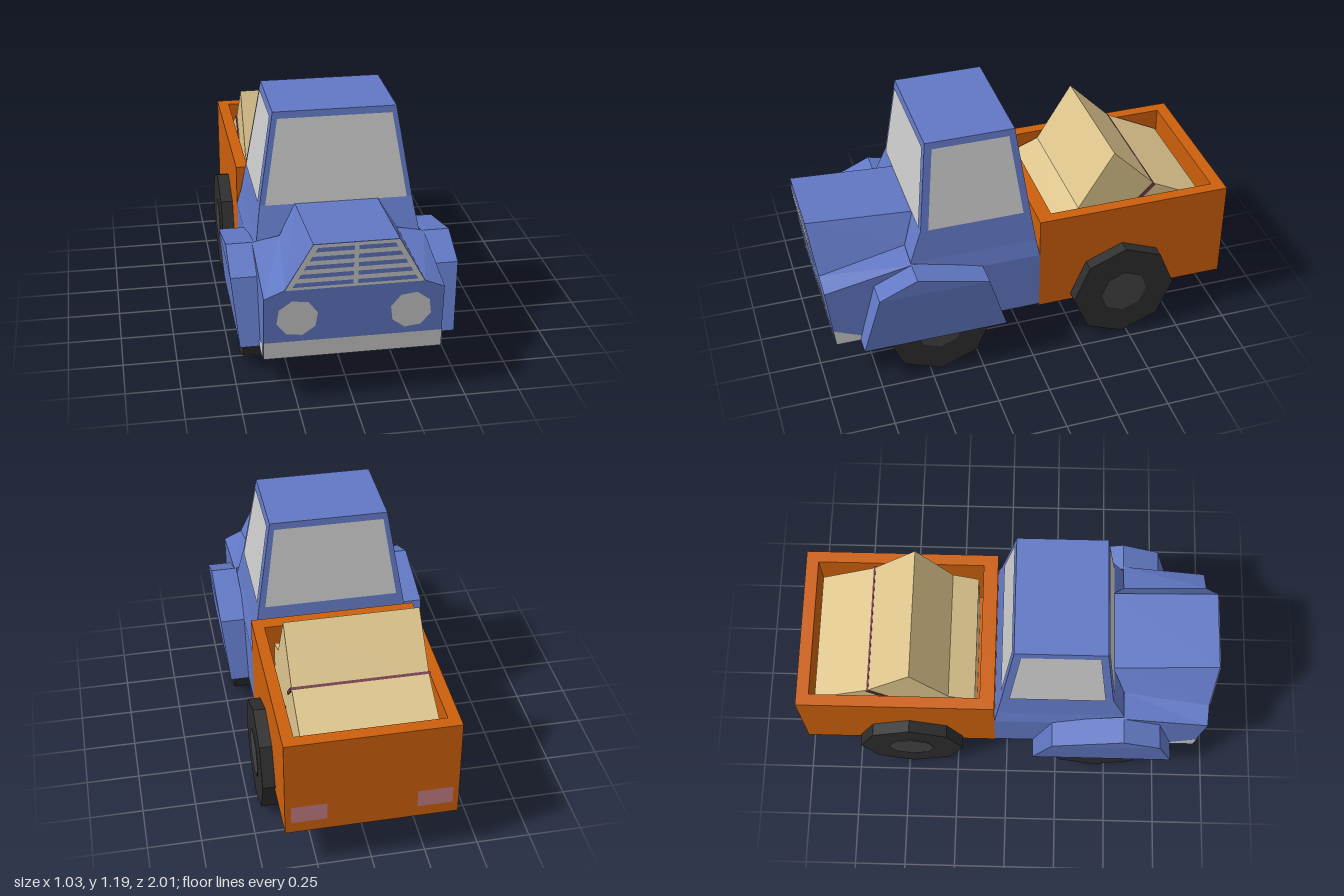
import * as THREE from 'three';

const material = (color) => new THREE.MeshStandardMaterial({ color, flatShading: true, side: THREE.DoubleSide });

export function createModel() {
  const truck = new THREE.Group();
  truck.name = 'pickupTruck';
  const blue = material(0x6178c4), orange = material(0xcc5f0c), grey = material(0xcccccc);
  const rubber = material(0x2d2d2d), hubGrey = material(0x434343), tan = material(0xdcc48c);
  const maroon = material(0x7a4050), pink = material(0xc07a80);

  function add(name, geometry, mat, x = 0, y = 0, z = 0) {
    const mesh = new THREE.Mesh(geometry, mat);
    mesh.name = name;
    mesh.position.set(x, y, z);
    truck.add(mesh);
    return mesh;
  }

  function facets(triangles) {
    const g = new THREE.BufferGeometry();
    g.setAttribute('position', new THREE.Float32BufferAttribute(triangles.flat(2), 3));
    g.computeVertexNormals();
    return g;
  }

  // Faceted solid through rings of equal length, closed at both ends
  function loft(rings) {
    const t = [], n = rings[0].length;
    for (let k = 0; k + 1 < rings.length; k++) {
      const a = rings[k], b = rings[k + 1];
      for (let i = 0; i < n; i++) {
        const j = (i + 1) % n;
        t.push([a[i], a[j], b[j]], [a[i], b[j], b[i]]);
      }
    }
    const first = rings[0], last = rings[rings.length - 1];
    for (let i = 0; i < Math.floor((n - 1) / 2); i++) {
      const p = n - 2 - i, q = n - 1 - i;
      t.push([last[i], last[i + 1], last[p]], [last[i], last[p], last[q]]);
      t.push([first[i], first[p], first[i + 1]], [first[i], first[q], first[p]]);
    }
    return facets(t);
  }

  // Thin quad, corners counter-clockwise from its visible side
  const panel = (name, [a, b, c, d], mat) => add(name, facets([[a, b, c], [a, c, d]]), mat);
  const noseZ = (y) => 0.935 + 0.114 * (y - 0.23);

  // Cab: half width, back and front at each height
  const cabLevels = [
    [0.23, 0.395, -0.06, 0.56], [0.53, 0.395, -0.06, 0.56], [0.61, 0.375, -0.047, 0.56],
    [0.765, 0.35, -0.025, 0.5], [1.19, 0.28, 0.03, 0.45],
  ];
  add('cab', loft(cabLevels.map(([y, x, back, front]) =>
    [[x, y, front], [x, y, back], [-x, y, back], [-x, y, front]])), blue);

  // Hood with a raised, tapering centre
  const mirrored = (half) => [...half, ...half.map(([x, y, z]) => [-x, y, z]).reverse()];
  const hoodRear = [[0.395, 0.23, 0.56], [0.395, 0.615, 0.56], [0.27, 0.64, 0.56], [0.19, 0.765, 0.5]];
  const hoodFront = [[0.395, 0.23], [0.395, 0.54], [0.305, 0.58], [0.185, 0.8]].map(([x, y]) => [x, y, noseZ(y)]);
  add('hood', loft([mirrored(hoodRear), mirrored(hoodFront)]), blue);

  // Windows
  const e = 0.004;
  panel('windshield', [[-0.325, 0.765, 0.5 + e], [0.325, 0.765, 0.5 + e],
    [0.26, 1.16, 0.4535 + e], [-0.26, 1.16, 0.4535 + e]], grey);
  panel('rearWindow', [[0.32, 0.765, -0.025 - e], [-0.32, 0.765, -0.025 - e],
    [-0.26, 1.16, 0.026 - e], [0.26, 1.16, 0.026 - e]], grey);

  // Grille: grey plate with split slats
  const onNose = (x, y, lift) => [x, y, noseZ(y) + lift];
  const nosePanel = (name, x0, x1, y0, x2, x3, y1, lift, mat) => panel(name,
    [onNose(x0, y0, lift), onNose(x1, y0, lift), onNose(x2, y1, lift), onNose(x3, y1, lift)], mat);
  nosePanel('grille', -0.303, 0.303, 0.58, 0.185, -0.185, 0.799, e, grey);
  const slatEdge = (y) => 0.27 - 0.56 * (y - 0.6);
  for (let i = 0; i < 5; i++) {
    const y0 = 0.595 + i * 0.0425, y1 = y0 + 0.021;
    const a = slatEdge(y0), b = slatEdge(y1);
    nosePanel('grilleSlotLeft', 0.01, a, y0, b, 0.01, y1, 2 * e, blue);
    nosePanel('grilleSlotRight', -a, -0.01, y0, -0.01, -b, y1, 2 * e, blue);
  }

  // Bumper band across the nose
  nosePanel('bumper', -0.395, 0.395, 0.23, 0.395, -0.395, 0.315, e, grey);

  for (const s of [1, -1]) {
    const side = s > 0 ? 'Left' : 'Right';
    const facing = (corners) => (s > 0 ? corners : corners.reverse());

    panel('sideWindow' + side, facing([[s * (0.35 + e), 0.765, 0.465], [s * (0.35 + e), 0.765, 0.01],
      [s * (0.285 + e), 1.16, 0.06], [s * (0.285 + e), 1.16, 0.42]]), grey);
    const bx = s * (0.395 + e);
    panel('bumperEnd' + side, facing([[bx, 0.23, 0.935], [bx, 0.23, 0.82],
      [bx, 0.255, 0.81], [bx, 0.315, 0.945]]), grey);

    // Headlight
    const lamp = add('headlight' + side,
      new THREE.CircleGeometry(0.093, 8, (s > 0 ? 30 : 15) * Math.PI / 180), grey,
      s * 0.25, 0.435, noseZ(0.435) + e);
    lamp.rotation.x = Math.atan(0.114);

    // Fender, leaning inward towards the bottom
    const arch = [[0.13, 0.23], [0.22, 0.53], [0.56, 0.615], [0.74, 0.535], [0.82, 0.23]];
    const inner = arch.map(([z, y]) => [s * 0.385, y, z]);
    const outer = arch.map(([z, y]) => [s * (y > 0.5 ? 0.513 : 0.485), y, z]);
    add('fender' + side, loft(s > 0 ? [inner, outer] : [outer, inner]), blue);

    // Eight-sided wheels
    for (const [end, z] of [['front', 0.45], ['rear', -0.475]]) {
      const wheel = add(end + 'Wheel' + side, new THREE.CylinderGeometry(0.255, 0.255, 0.325, 8), rubber, s * 0.291, 0.255, z);
      wheel.rotation.z = Math.PI / 2;
      const hub = add(end + 'Hub' + side, new THREE.CylinderGeometry(0.115, 0.115, 0.02, 8), hubGrey, s * 0.447, 0.255, z);
      hub.rotation.z = Math.PI / 2;
    }

    // Tail light
    const tail = add('tailLight' + side, new THREE.PlaneGeometry(0.162, 0.09), pink, s * 0.286, 0.325, -1 - e);
    tail.rotation.y = Math.PI;
  }

  // Cargo bed: four walls around a floor
  const rectangle = (path, x, z0, z1) => {
    path.moveTo(-x, -z1);
    path.lineTo(x, -z1);
    path.lineTo(x, -z0);
    path.lineTo(-x, -z0);
    path.closePath();
    return path;
  };
  const walls = rectangle(new THREE.Shape(), 0.395, -1, -0.06);
  walls.holes.push(rectangle(new THREE.Path(), 0.34, -0.94, -0.13));
  const wallGeometry = new THREE.ExtrudeGeometry(walls, { depth: 0.5, bevelEnabled: false });
  wallGeometry.rotateX(-Math.PI / 2);
  add('bedWalls', wallGeometry, orange, 0, 0.22, 0);
  add('bedFloor', new THREE.BoxGeometry(0.69, 0.08, 0.82), orange, 0, 0.261, -0.535);

  // Tilted cargo with a strap over its back slope
  const cargoProfile = [[-0.925, 0.3], [-0.925, 0.62], [-0.66, 0.755], [-0.45, 0.97],
    [-0.28, 0.69], [-0.155, 0.64], [-0.155, 0.3]];
  add('cargo', loft([-0.325, 0.3].map((x) => cargoProfile.map(([z, y]) => [x, y, z]))), tan);
  const strap = add('cargoStrap', new THREE.BoxGeometry(0.637, 0.13, 0.016), maroon, -0.0125, 0.71, -0.615);
  strap.rotation.x = -0.78;

  return truck;
}
